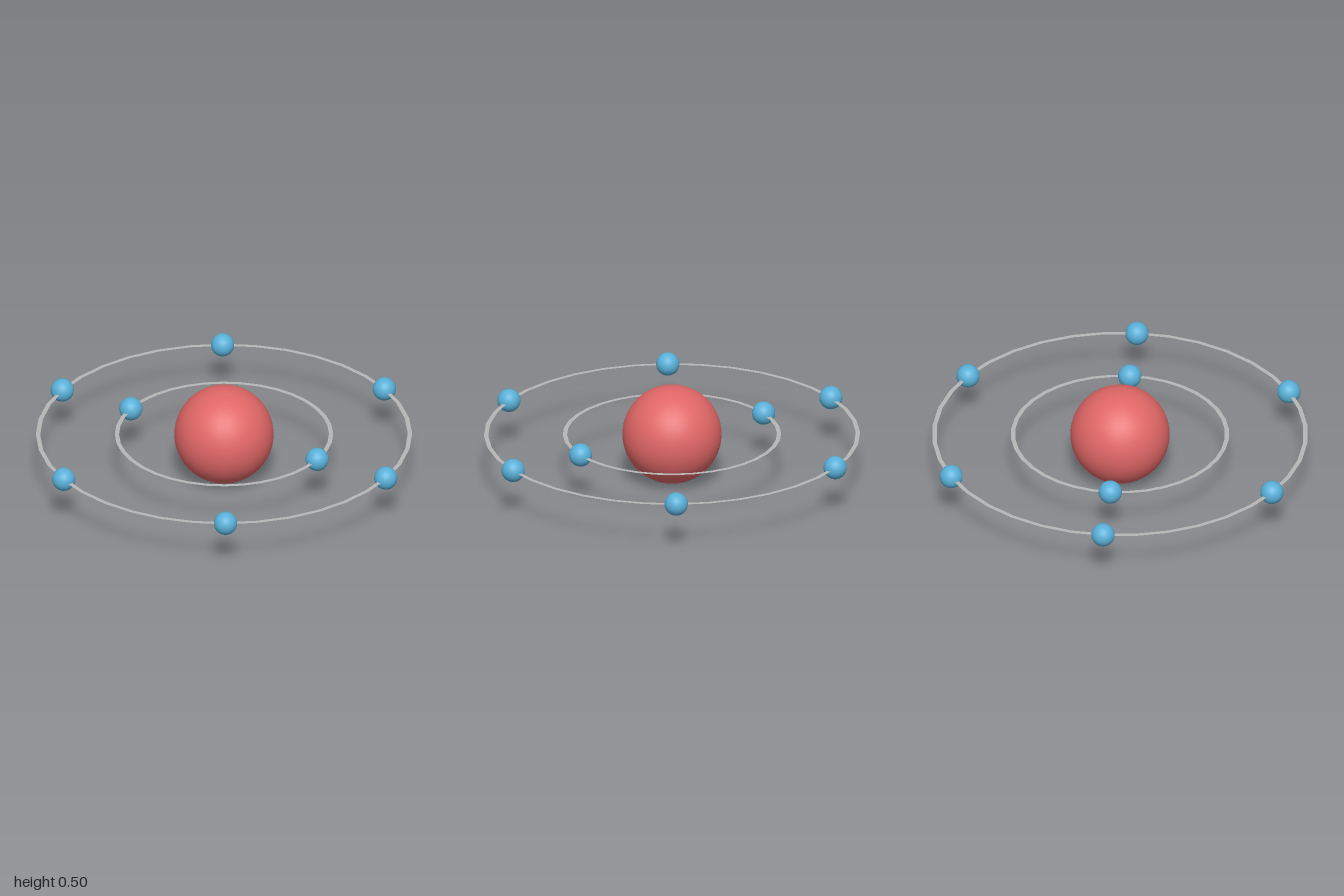
import * as THREE from 'three';

const CORE_RADIUS = 0.251;
const ELECTRON_RADIUS = 0.059;
const RING_HALF_WIDTH = 0.011;

// Each shell: orbit radius and number of evenly spaced electrons
const SHELLS = [
  { name: 'innerShell', radius: 0.542, electrons: 2 },
  { name: 'outerShell', radius: 0.941, electrons: 6 },
];

function material(name, color, side = THREE.FrontSide) {
  const m = new THREE.MeshStandardMaterial({ color, side });
  m.name = name;
  return m;
}

function part(name, geometry, mat) {
  const mesh = new THREE.Mesh(geometry, mat);
  mesh.name = name;
  return mesh;
}

export function createModel() {
  const red = material('nucleusRed', 0xe06666);
  const blue = material('electronBlue', 0x5ab0d8);
  const grey = material('orbitGrey', 0xb7b7b7, THREE.DoubleSide);

  const model = new THREE.Group();
  model.name = 'atom';

  // Central nucleus
  const nucleus = part('nucleus', new THREE.SphereGeometry(CORE_RADIUS, 48, 32), red);
  nucleus.position.y = CORE_RADIUS;
  model.add(nucleus);

  const electronGeometry = new THREE.SphereGeometry(ELECTRON_RADIUS, 32, 24);

  for (const { name, radius, electrons } of SHELLS) {
    const shell = new THREE.Group();
    shell.name = name;
    shell.position.y = CORE_RADIUS;

    // Flat orbit ring lying in the horizontal plane
    const ring = new THREE.RingGeometry(radius - RING_HALF_WIDTH, radius + RING_HALF_WIDTH, 36);
    ring.rotateX(-Math.PI / 2);
    shell.add(part('orbit', ring, grey));

    // Electrons spaced around the orbit, starting on +x
    for (let i = 0; i < electrons; i++) {
      const angle = (i / electrons) * Math.PI * 2;
      const electron = part('electron', electronGeometry, blue);
      electron.position.set(Math.cos(angle) * radius, 0, Math.sin(angle) * radius);
      shell.add(electron);
    }
    model.add(shell);
  }
  return model;
}
